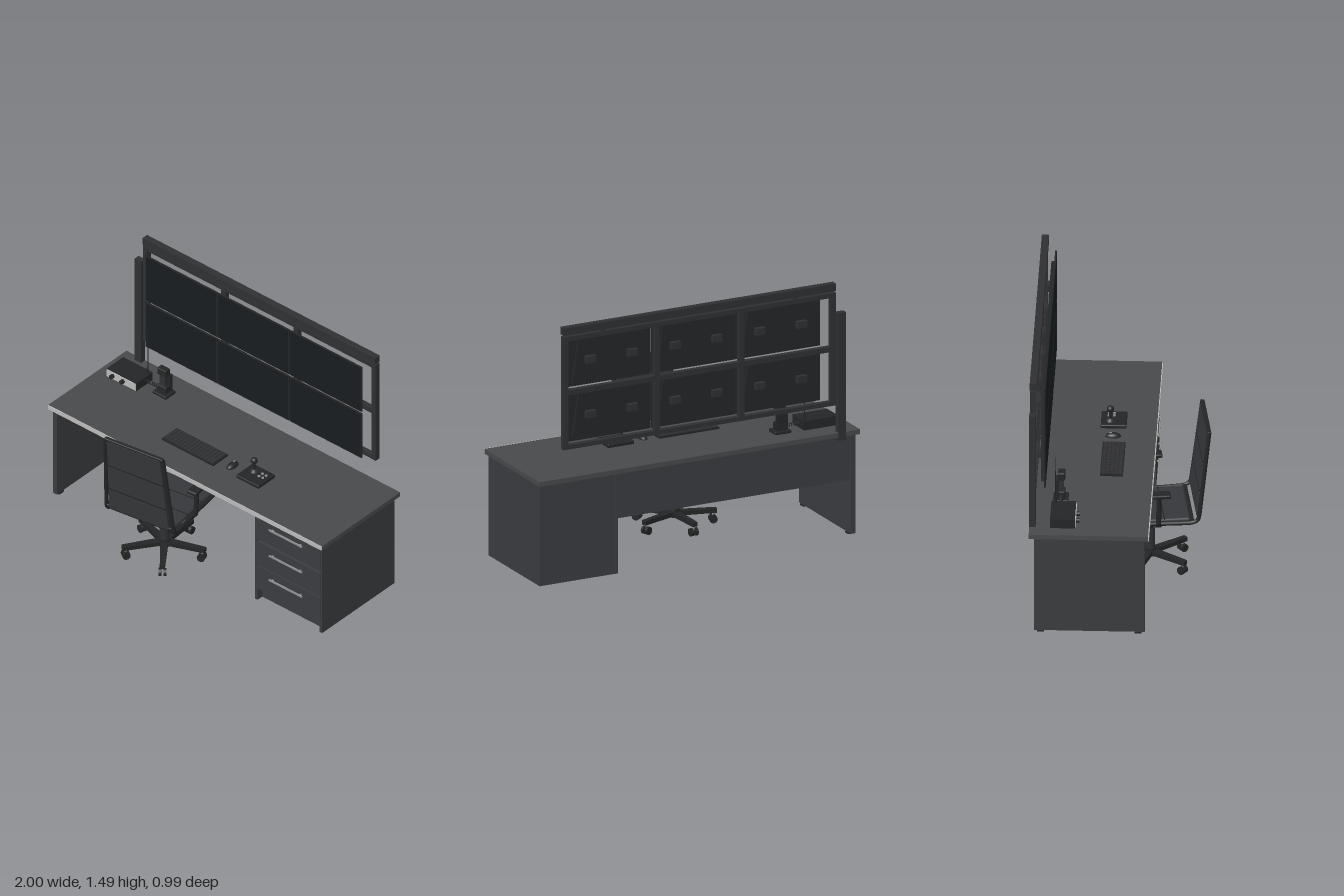
import * as THREE from 'three';
import { RoundedBoxGeometry } from 'three/addons/geometries/RoundedBoxGeometry.js';

const mat = (color) => new THREE.MeshStandardMaterial({ color });
const wood = mat(0x48494b), panel = mat(0x3a3c3f), black = mat(0x242526), dark = mat(0x2f3032);
const glass = mat(0x171c20), fabric = mat(0x35373a), metal = mat(0x8c8d8e), edge = mat(0xbababa);

function add(parent, name, geometry, material, x = 0, y = 0, z = 0) {
  const m = new THREE.Mesh(geometry, material);
  m.name = name;
  m.position.set(x, y, z);
  parent.add(m);
  return m;
}
// box given by its limits on each axis
function box(parent, name, material, x0, x1, y0, y1, z0, z1, r = 0) {
  const s = [x1 - x0, y1 - y0, z1 - z0];
  const g = r ? new RoundedBoxGeometry(...s, 2, r) : new THREE.BoxGeometry(...s);
  return add(parent, name, g, material, (x0 + x1) / 2, (y0 + y1) / 2, (z0 + z1) / 2);
}
const cyl = (parent, name, material, r0, r1, h, x, y, z) =>
  add(parent, name, new THREE.CylinderGeometry(r0, r1, h, 20), material, x, y, z);
function tube(parent, name, material, points, r, segments = 40) {
  const curve = new THREE.CatmullRomCurve3(points.map((p) => new THREE.Vector3(...p)), false, 'catmullrom', 0.2);
  return add(parent, name, new THREE.TubeGeometry(curve, segments, r, 8), material);
}
function group(parent, name) {
  const g = new THREE.Group();
  g.name = name;
  parent.add(g);
  return g;
}

function buildDesk(root) {
  const g = group(root, 'desk');
  box(g, 'deskTop', wood, -1, 1, 0.59, 0.617, -0.485, 0.176);
  box(g, 'frontEdge', edge, -1, 1, 0.59, 0.617, 0.176, 0.181);
  box(g, 'sidePanel', panel, -0.984, -0.955, 0.008, 0.59, -0.457, 0.157);
  for (const z of [-0.42, 0.12]) box(g, 'foot', black, -0.988, -0.95, 0, 0.008, z - 0.02, z + 0.02);
  box(g, 'modestyPanel', panel, -0.955, 0.495, 0.32, 0.59, -0.452, -0.43);
  box(g, 'cableRail', black, -0.86, 0.39, 0.545, 0.56, -0.43, -0.415);
  // drawer cabinet, open below its floor
  box(g, 'cabinetSide', panel, 0.965, 0.984, 0, 0.59, -0.457, 0.157);
  box(g, 'cabinetSide', panel, 0.495, 0.513, 0, 0.59, -0.457, 0.157);
  box(g, 'cabinetBack', panel, 0.513, 0.965, 0, 0.59, -0.455, -0.437);
  box(g, 'cabinetBody', black, 0.513, 0.965, 0.07, 0.588, -0.437, 0.135);
  box(g, 'plinth', panel, 0.513, 0.965, 0, 0.072, 0.1, 0.118);
  for (const y of [0.08, 0.247, 0.424]) {
    box(g, 'drawerFront', panel, 0.505, 0.975, y, y + 0.158, 0.13, 0.16);
    box(g, 'drawerHandle', metal, 0.61, 0.85, y + 0.108, y + 0.118, 0.168, 0.176);
    for (const x of [0.63, 0.83]) box(g, 'handlePost', metal, x - 0.005, x + 0.005, y + 0.109, y + 0.117, 0.158, 0.17);
  }
}

function buildScreenWall(root) {
  const g = group(root, 'screenWall');
  box(g, 'topBar', dark, -0.85, 0.85, 1.447, 1.49, -0.485, -0.445);
  for (const [y0, y1] of [[0.78, 0.805], [1.095, 1.125], [1.41, 1.437]])
    box(g, 'frameRail', dark, -0.85, 0.85, y0, y1, -0.483, -0.452);
  for (const x of [-0.835, -0.264, 0.264, 0.835])
    box(g, 'frameUpright', dark, x - 0.015, x + 0.015, 0.78, 1.437, -0.484, -0.451);
  for (const x of [-0.6, 0.6]) box(g, 'topBarLink', dark, x - 0.015, x + 0.015, 1.43, 1.45, -0.48, -0.455);
  box(g, 'cablePole', dark, -0.912, -0.865, 0.57, 1.315, -0.486, -0.45);

  // rear housing narrows towards its top
  const outline = new THREE.Shape([[-0.235, -0.125], [0.235, -0.125], [0.195, 0.125], [-0.195, 0.125]].map((p) => new THREE.Vector2(...p)));
  const housing = new THREE.ExtrudeGeometry(outline, { depth: 0.02, bevelEnabled: false });
  for (const x of [-0.528, 0, 0.528]) for (const y of [0.951, 1.27]) {
    const s = group(g, 'screen');
    s.position.set(x, y, 0);
    box(s, 'screenCase', black, -0.261, 0.261, -0.153, 0.153, -0.409, -0.4);
    box(s, 'display', glass, -0.255, 0.255, -0.147, 0.147, -0.401, -0.399);
    add(s, 'screenHousing', housing, black, 0, 0, -0.427);
    for (const side of [-1, 1]) box(s, 'mount', dark, side * 0.13 - 0.03, side * 0.13 + 0.03, -0.02, 0.02, -0.452, -0.425);
  }
}

function buildDeskItems(root) {
  const top = 0.617;
  const kb = group(root, 'keyboard');
  box(kb, 'keyboardBase', black, -0.315, 0.06, top, top + 0.01, -0.117, 0.01);
  for (let r = 0; r < 5; r++) for (let c = 0; c < 15; c++) {
    const x = -0.308 + c * 0.0242, z = -0.111 + r * 0.0236;
    box(kb, 'key', dark, x, x + 0.021, top + 0.01, top + 0.015, z, z + 0.02);
  }
  const mouse = add(root, 'mouse', new THREE.SphereGeometry(1, 24, 12, 0, Math.PI * 2, 0, Math.PI / 2), black, 0.14, top, -0.062);
  mouse.scale.set(0.025, 0.024, 0.043);
  box(root, 'mouseWheel', metal, 0.137, 0.143, top + 0.015, top + 0.025, -0.085, -0.068);

  // joystick controller
  const joy = group(root, 'joystickController');
  box(joy, 'controllerBase', black, 0.225, 0.39, top, top + 0.022, -0.135, 0.008, 0.006);
  cyl(joy, 'stickBoot', dark, 0.012, 0.026, 0.018, 0.28, top + 0.029, -0.083);
  cyl(joy, 'stick', black, 0.006, 0.008, 0.06, 0.28, 0.67, -0.083);
  add(joy, 'stickBall', new THREE.SphereGeometry(0.02, 20, 14), black, 0.28, 0.712, -0.083);
  for (const x of [0.333, 0.36]) for (const z of [-0.092, -0.063]) cyl(joy, 'button', metal, 0.008, 0.008, 0.008, x, top + 0.024, z);

  // radio with knobs and antenna
  const radio = group(root, 'radio');
  box(radio, 'radioCase', black, -0.925, -0.71, top + 0.004, 0.675, -0.37, -0.232);
  box(radio, 'radioFront', edge, -0.923, -0.712, top + 0.008, 0.671, -0.232, -0.228);
  for (const x of [-0.9, -0.735]) for (const z of [-0.35, -0.25]) cyl(radio, 'radioFoot', black, 0.01, 0.01, 0.006, x, top + 0.002, z);
  for (const x of [-0.878, -0.803]) cyl(radio, 'knob', black, 0.013, 0.013, 0.02, x, 0.648, -0.219).rotation.x = Math.PI / 2;
  cyl(radio, 'antennaBase', black, 0.006, 0.006, 0.04, -0.725, 0.69, -0.345);
  cyl(radio, 'antenna', black, 0.002, 0.003, 0.26, -0.725, 0.83, -0.348);

  // handset on its stand, joined by a coiled cord
  const phone = group(root, 'handset');
  box(phone, 'standBase', black, -0.635, -0.535, top, top + 0.018, -0.365, -0.28, 0.005);
  box(phone, 'standBack', black, -0.62, -0.55, top, 0.75, -0.352, -0.336);
  box(phone, 'handsetGrip', dark, -0.605, -0.565, top + 0.018, 0.77, -0.335, -0.305);
  box(phone, 'earpiece', black, -0.617, -0.553, 0.75, 0.795, -0.338, -0.298, 0.006);
  box(phone, 'mouthpiece', black, -0.617, -0.553, 0.635, 0.68, -0.338, -0.298, 0.006);
  const coil = [];
  for (let i = 0; i <= 48; i++) {
    const a = (i / 48) * Math.PI * 12;
    coil.push([-0.712 + 0.09 * (i / 48), 0.65 + 0.009 * Math.cos(a), -0.318 + 0.009 * Math.sin(a)]);
  }
  tube(phone, 'coiledCord', black, coil, 0.0025, 140);
}

function buildChair(root) {
  const g = group(root, 'chair');
  g.position.set(-0.17, 0, 0.155);
  g.rotation.y = 0.14;

  // five-arm base with twin-wheel castors
  const base = group(g, 'chairBase');
  base.rotation.y = -0.14;
  cyl(base, 'hub', black, 0.034, 0.038, 0.045, 0, 0.075, 0);
  for (let k = 0; k < 5; k++) {
    const arm = group(base, 'baseArm');
    arm.rotation.y = THREE.MathUtils.degToRad(20 + 72 * k);
    const geo = new THREE.BoxGeometry(0.235, 0.026, 0.044);
    const p = geo.attributes.position;
    for (let i = 0; i < p.count; i++) if (p.getX(i) > 0) p.setZ(i, p.getZ(i) * 0.65);
    add(arm, 'armBeam', geo, black, 0.125, 0.071, 0);
    cyl(arm, 'castorStem', metal, 0.006, 0.006, 0.035, 0.222, 0.048, 0);
    for (const s of [-1, 1]) cyl(arm, 'castorWheel', black, 0.023, 0.023, 0.016, 0.222, 0.023, s * 0.014).rotation.x = Math.PI / 2;
  }
  cyl(g, 'columnSleeve', dark, 0.026, 0.028, 0.14, 0, 0.15, 0);
  cyl(g, 'gasColumn', black, 0.019, 0.019, 0.1, 0, 0.255, 0);
  box(g, 'tiltMechanism', black, -0.09, 0.09, 0.293, 0.325, -0.1, 0.1, 0.006);
  box(g, 'seatPlate', black, -0.13, 0.13, 0.32, 0.338, -0.13, 0.13);

  // seat
  box(g, 'seatCushion', fabric, -0.19, 0.19, 0.338, 0.37, -0.215, 0.205, 0.012);
  for (const z of [-0.08, 0.06]) box(g, 'seatSeam', black, -0.191, 0.191, 0.365, 0.372, z - 0.003, z + 0.003);
  box(g, 'seatCrossBar', black, -0.215, 0.215, 0.335, 0.35, 0.005, 0.045);
  for (const s of [-1, 1]) {
    // one bent rail runs under the seat and up the backrest
    tube(g, 'sideRail', black, [[s * 0.2, 0.352, -0.215], [s * 0.205, 0.352, 0], [s * 0.215, 0.354, 0.2],
      [s * 0.22, 0.368, 0.238], [s * 0.218, 0.41, 0.252], [s * 0.188, 0.9, 0.309]], 0.012, 60);
    tube(g, 'armSupport', black, [[s * 0.2, 0.345, 0.025], [s * 0.222, 0.365, 0.025], [s * 0.226, 0.45, 0.025], [s * 0.226, 0.54, 0.025]], 0.014);
    box(g, 'armPad', black, s * 0.235 - 0.032, s * 0.235 + 0.032, 0.537, 0.56, -0.12, 0.09, 0.008);
  }

  // backrest
  const back = group(g, 'backrest');
  back.position.set(0, 0.39, 0.25);
  back.rotation.x = 0.116;
  const shape = new THREE.Shape([[-0.192, 0], [0.192, 0], [0.172, 0.505], [-0.172, 0.505]].map((p) => new THREE.Vector2(...p)));
  add(back, 'backCushion', new THREE.ExtrudeGeometry(shape, { depth: 0.02, bevelEnabled: true, bevelSize: 0.003, bevelThickness: 0.003, bevelSegments: 2 }), fabric, 0, 0, -0.01);
  for (const y of [0.15, 0.325]) {
    const w = 0.195 - y * 0.04;
    box(back, 'backSeam', black, -w, w, y - 0.004, y + 0.004, -0.015, 0.015);
  }
  box(back, 'topRail', black, -0.193, 0.193, 0.5, 0.52, -0.012, 0.012, 0.006);
  box(back, 'bottomRail', black, -0.215, 0.215, -0.004, 0.016, -0.012, 0.012, 0.006);
  box(g, 'rearCrossBar', black, -0.215, 0.215, 0.345, 0.365, 0.2, 0.225, 0.006);
}

export function createModel() {
  const root = new THREE.Group();
  root.name = 'controlRoomWorkstation';
  buildDesk(root);
  buildScreenWall(root);
  buildDeskItems(root);
  buildChair(root);
  return root;
}
